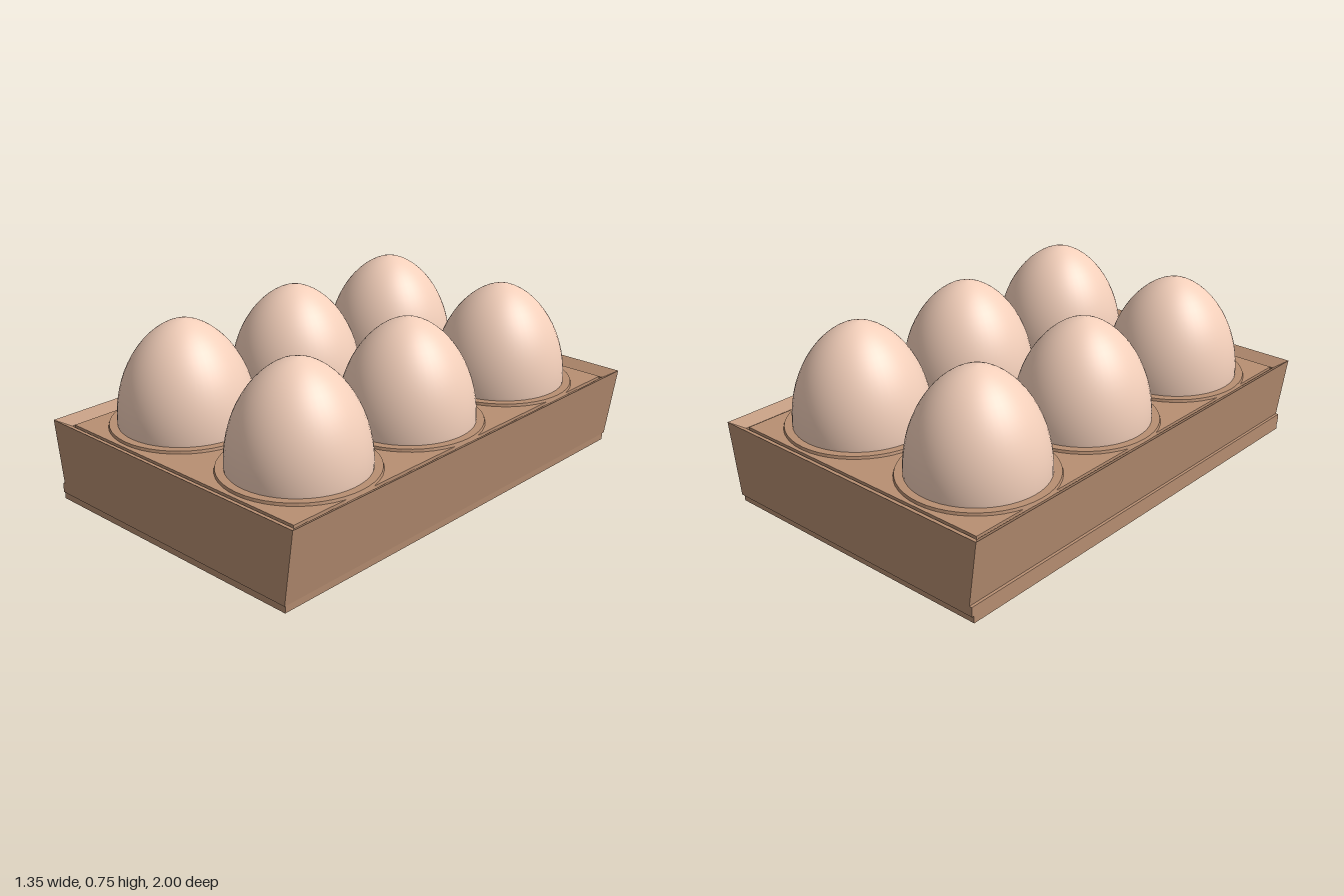
import * as THREE from 'three';

const card = new THREE.MeshStandardMaterial({ color: 0xb88f72 });
const cardFlat = new THREE.MeshStandardMaterial({ color: 0xb88f72, flatShading: true });
const shell = new THREE.MeshStandardMaterial({ color: 0xf3cfba });

// Loft through rectangles [xMin, xMax, zMin, zMax, y], closed at both ends
function loftRects(rects) {
  const pos = [], idx = [];
  for (const [a, b, c, d, y] of rects) pos.push(a, y, d, b, y, d, b, y, c, a, y, c);
  for (let i = 0; i < rects.length - 1; i++) {
    for (let j = 0; j < 4; j++) {
      const p = i * 4 + j, q = i * 4 + (j + 1) % 4;
      idx.push(p, q, q + 4, p, q + 4, p + 4);
    }
  }
  const n = (rects.length - 1) * 4;
  idx.push(0, 2, 1, 0, 3, 2, n, n + 1, n + 2, n, n + 2, n + 3);
  const g = new THREE.BufferGeometry();
  g.setAttribute('position', new THREE.Float32BufferAttribute(pos, 3));
  g.setIndex(idx);
  const flat = g.toNonIndexed();
  flat.computeVertexNormals();
  return flat;
}

// Egg outline, pointed end up, widest at y = 0
function eggGeometry() {
  const pts = [];
  for (let i = 0; i <= 32; i++) {
    const t = -Math.PI / 2 + (Math.PI * i) / 32;
    const up = t > 0;
    const r = 0.28 * Math.pow(Math.max(0, Math.cos(t)), up ? 1.15 : 1);
    pts.push(new THREE.Vector2(r, (up ? 0.41 : 0.29) * Math.sin(t)));
  }
  return new THREE.LatheGeometry(pts, 48);
}

// Rounded post whose plan goes from a circle at the top to a diamond at the foot
function postGeometry() {
  const pts = [[1, 0.28], [0.94, 0.34], [0.84, 0.4], [0.7, 0.45], [0.5, 0.482], [0.25, 0.494], [0, 0.497]]
    .map(([r, y]) => new THREE.Vector2(r, y));
  const g = new THREE.LatheGeometry(pts, 48);
  const p = g.attributes.position;
  for (let i = 0; i < p.count; i++) {
    const x = p.getX(i), z = p.getZ(i), r = Math.hypot(x, z);
    if (r < 1e-6) continue;
    const c = Math.abs(x / r), s = Math.abs(z / r);
    const diamond = 1 / (c / 0.19 + s / 0.255);
    const round = 1 / Math.hypot(c / 0.17, s / 0.235);
    const k = THREE.MathUtils.lerp(round, diamond, r);
    p.setXYZ(i, x * k, p.getY(i), z * k);
  }
  g.computeVertexNormals();
  return g;
}

export function createModel() {
  const model = new THREE.Group();
  const add = (name, geometry, material, x = 0, y = 0, z = 0) => {
    const m = new THREE.Mesh(geometry, material);
    m.name = name;
    m.position.set(x, y, z);
    model.add(m);
    return m;
  };

  // Tapered carton with a small base ledge, a bevelled rim and a sunken floor
  add('carton', loftRects([
    [-0.65, 0.625, -0.99, 0.995, 0],
    [-0.65, 0.627, -0.99, 0.995, 0.03],
    [-0.65, 0.628, -1, 1, 0.03],
    [-0.65, 0.634, -1, 1, 0.07],
    [-0.638, 0.634, -1, 1, 0.07],
    [-0.675, 0.675, -1, 1, 0.34],
    [-0.63, 0.627, -0.95, 0.947, 0.31],
    [-0.63, 0.627, -0.95, 0.947, 0.25],
  ]), cardFlat);

  // Inner tray, set in with a narrow gap
  add('innerTray', loftRects([
    [-0.622, 0.617, -0.942, 0.939, 0.24],
    [-0.622, 0.617, -0.942, 0.939, 0.315],
  ]), cardFlat);

  // Eggs, each in a low cup rim
  const egg = eggGeometry();
  const cup = new THREE.LatheGeometry([
    new THREE.Vector2(0.32, 0.3), new THREE.Vector2(0.312, 0.326), new THREE.Vector2(0.27, 0.326),
  ], 48);
  for (const x of [-0.32, 0.31]) {
    for (const z of [-0.612, -0.003, 0.607]) {
      add('egg', egg, shell, x, 0.34, z);
      add('cupRim', cup, cardFlat, x, 0, z);
    }
  }

  // Posts between the rows
  const post = postGeometry();
  for (const z of [-0.32, 0.32]) add('dividerPost', post, card, -0.005, 0, z);

  return model;
}
